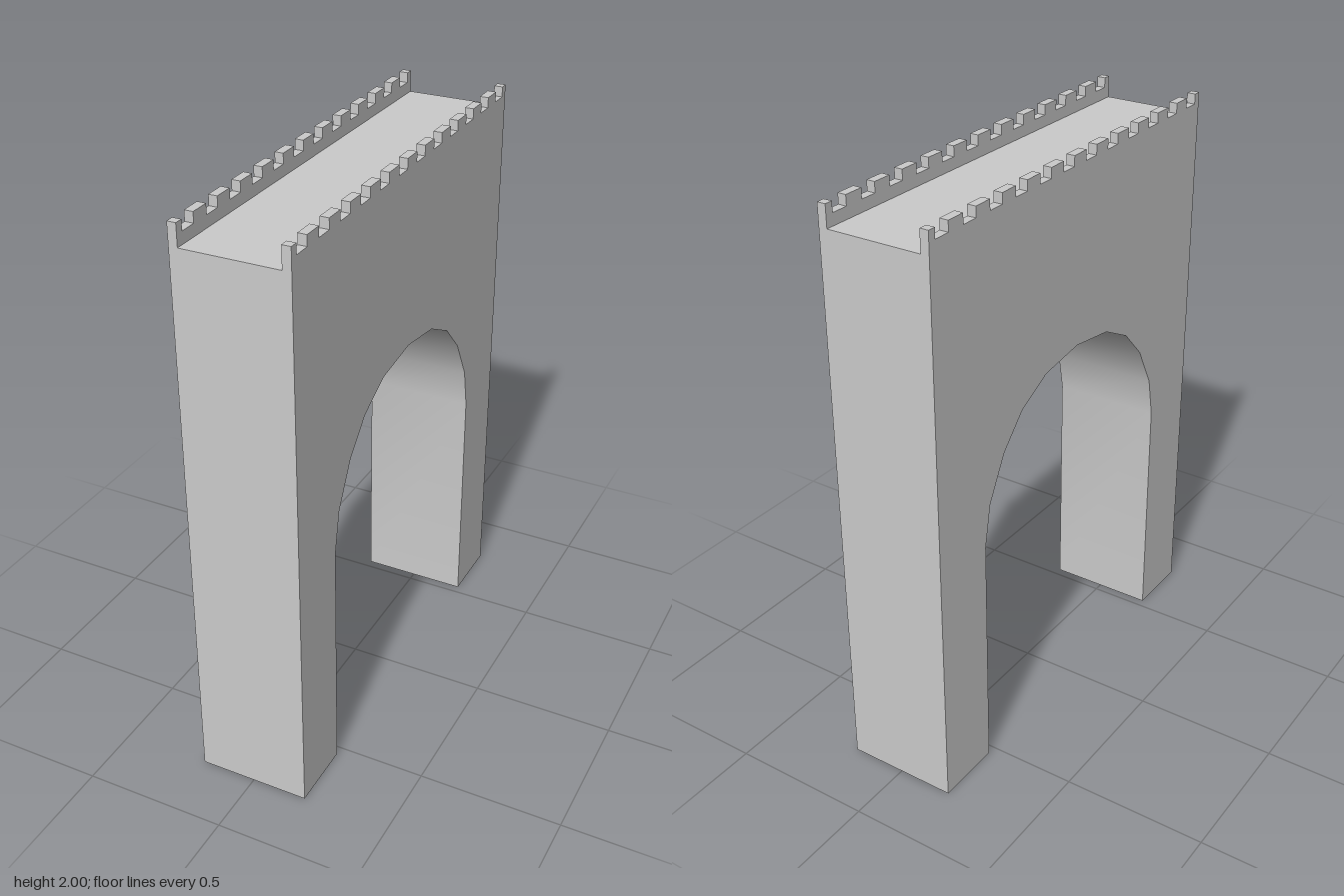
import * as THREE from 'three';
import { toCreasedNormals } from 'three/addons/utils/BufferGeometryUtils.js';

const HALF_LENGTH = 0.77, HALF_WIDTH = 0.195;
const DECK = 1.925, TOP = 2, NOTCH = 1.965, RAIL = 0.03;

// Extrudes a side profile (z, y) across the thickness, centred on x.
function slab(name, points, thickness, x, material) {
  const shape = new THREE.Shape(points.map(([z, y]) => new THREE.Vector2(z, y)));
  const geometry = new THREE.ExtrudeGeometry(shape, { depth: thickness, bevelEnabled: false });
  geometry.translate(0, 0, -thickness / 2).rotateY(Math.PI / 2);
  const mesh = new THREE.Mesh(toCreasedNormals(geometry, 0.6), material);
  mesh.name = name;
  mesh.position.x = x;
  return mesh;
}

export function createModel() {
  const group = new THREE.Group();
  group.name = 'archedGateway';
  const stone = new THREE.MeshStandardMaterial({ color: 0xcccccc });

  // Wall with an arched opening: one half of the arch, then its mirror
  const halfArch = [[0.532, 0], [0.532, 0.85], [0.504, 0.997], [0.424, 1.146], [0.322, 1.252], [0.186, 1.321]];
  const mirrored = halfArch.map(([z, y]) => [-z, y]);
  const wall = [
    [HALF_LENGTH, 0], [HALF_LENGTH, DECK], [-HALF_LENGTH, DECK], [-HALF_LENGTH, 0],
    ...mirrored, [0, 1.347], ...halfArch.reverse(),
  ];
  group.add(slab('archedWall', wall, HALF_WIDTH * 2, 0, stone));

  // Crenellated parapet along each long edge
  const parapet = [[HALF_LENGTH, DECK], [HALF_LENGTH, TOP]];
  const pitch = 0.1293, halfGap = 0.03;
  for (let i = 0; i < 12; i++) {
    const z = (5.5 - i) * pitch;
    parapet.push([z + halfGap, TOP], [z + halfGap, NOTCH], [z - halfGap, NOTCH], [z - halfGap, TOP]);
  }
  parapet.push([-HALF_LENGTH, TOP], [-HALF_LENGTH, DECK]);
  for (const side of [1, -1]) {
    const name = side > 0 ? 'leftParapet' : 'rightParapet';
    group.add(slab(name, parapet, RAIL, side * (HALF_WIDTH - RAIL / 2), stone));
  }
  return group;
}
